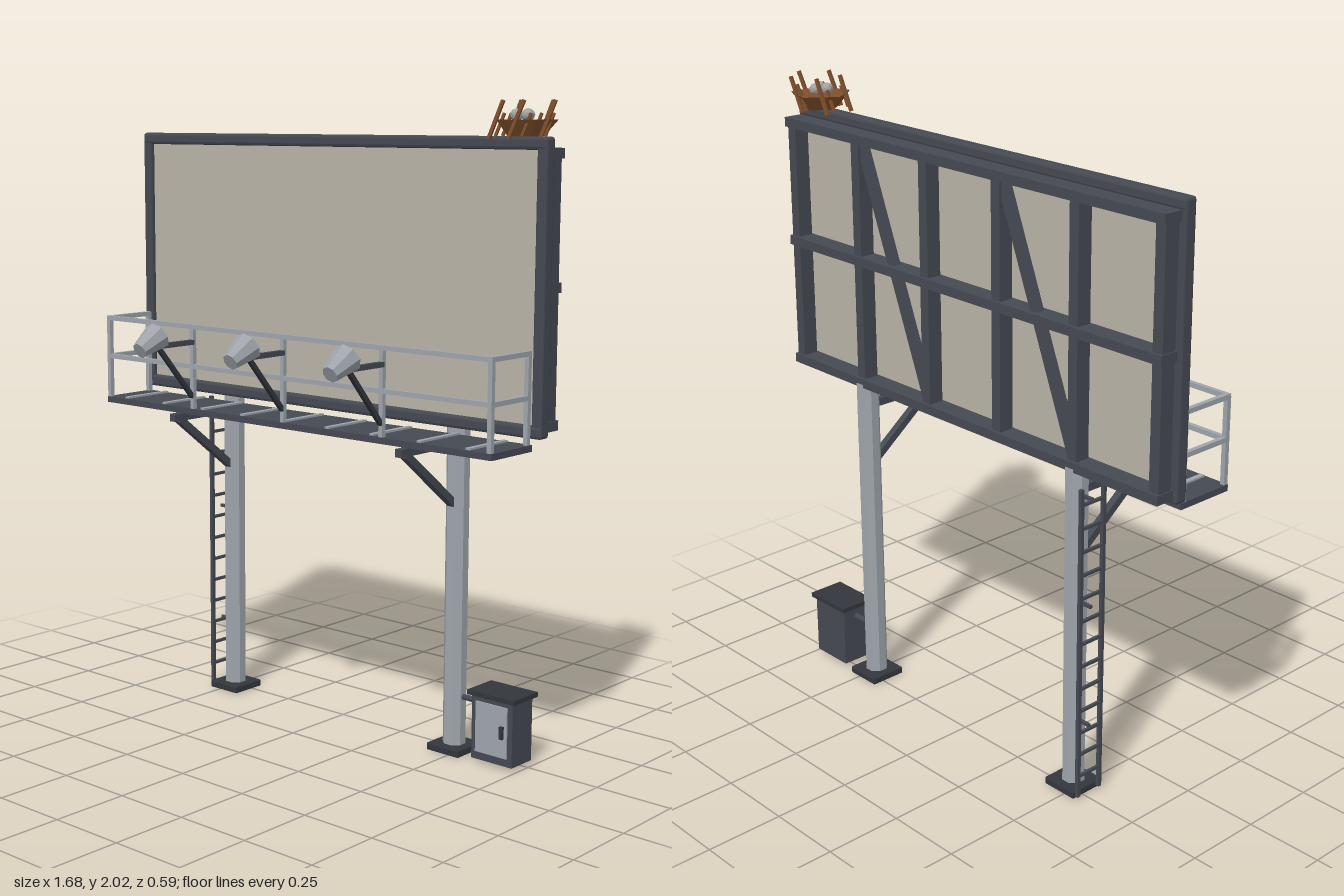
import * as THREE from 'three';
import { RoundedBoxGeometry } from 'three/addons/geometries/RoundedBoxGeometry.js';

const mat = (name, color) => new THREE.MeshStandardMaterial({ name, color, flatShading: true });

export function createModel() {
  const root = new THREE.Group();
  root.name = 'billboard';
  const dark = mat('dark painted steel', 0x454952);
  const black = mat('blackened steel', 0x33363c);
  const steel = mat('galvanised steel', 0x9fa5ad);
  const cream = mat('blank panel', 0xb9b3a7);
  const amber = mat('amber lens', 0xdd862a);
  const brown = mat('nest twigs', 0x80502d);
  const egg = mat('eggs', 0xa3a3a0);

  const group = (name, parent = root) => {
    const g = new THREE.Group();
    g.name = name;
    parent.add(g);
    return g;
  };
  const add = (parent, name, geometry, material, x = 0, y = 0, z = 0) => {
    const m = new THREE.Mesh(geometry, material);
    m.name = name;
    m.position.set(x, y, z);
    parent.add(m);
    return m;
  };
  // box given by its lower and upper corners
  const box = (parent, name, material, [x0, y0, z0], [x1, y1, z1], bevel = 0) => {
    const s = [x1 - x0, y1 - y0, z1 - z0];
    const g = bevel ? new RoundedBoxGeometry(...s, 1, bevel) : new THREE.BoxGeometry(...s);
    return add(parent, name, g, material, (x0 + x1) / 2, (y0 + y1) / 2, (z0 + z1) / 2);
  };
  // square bar between two points
  const bar = (parent, name, material, a, b, w, d = w) => {
    const p = new THREE.Vector3(...a), q = new THREE.Vector3(...b);
    const m = add(parent, name, new THREE.BoxGeometry(w, d, p.distanceTo(q)), material);
    m.position.copy(p).add(q).multiplyScalar(0.5);
    m.lookAt(q);
    return m;
  };

  // sign panel and front frame
  const sign = group('sign');
  box(sign, 'panel', cream, [-0.81, 1.06, -0.195], [0.81, 1.9, -0.17]);
  box(sign, 'topFrame', dark, [-0.835, 1.882, -0.197], [0.835, 1.92, -0.153], 0.009);
  box(sign, 'bottomFrame', dark, [-0.835, 1.045, -0.197], [0.835, 1.084, -0.153], 0.009);
  for (const s of [-1, 1]) {
    box(sign, 'sideFrame', dark, [s * 0.817 - 0.018, 1.05, -0.195], [s * 0.817 + 0.018, 1.9, -0.155], 0.006);
  }

  // rear support lattice
  const lattice = group('rearLattice');
  for (let i = 0; i < 6; i++) {
    const x = -0.8 + i * 0.32;
    box(lattice, 'upright', dark, [x - 0.018, 1.06, -0.253], [x + 0.018, 1.885, -0.203]);
  }
  for (const y of [1.075, 1.483, 1.872]) {
    box(lattice, 'crossBeam', dark, [-0.822, y - 0.015, -0.262], [0.822, y + 0.015, -0.197]);
  }
  for (const x of [0.48, -0.16]) {
    bar(lattice, 'diagonalBrace', dark, [x - 0.01, 1.86, -0.23], [x - 0.31, 1.09, -0.23], 0.028);
  }

  // octagonal columns, base plates and catwalk brackets
  for (const x of [-0.48, 0.48]) {
    const c = group('column');
    const post = add(c, 'post', new THREE.CylinderGeometry(0.037, 0.037, 1.05, 8), steel, x, 0.545, -0.23);
    post.rotation.y = Math.PI / 8;
    box(c, 'basePlate', black, [x - 0.062, 0, -0.292], [x + 0.062, 0.024, -0.168], 0.004);
    box(c, 'bracketArm', dark, [x - 0.012, 0.98, -0.22], [x + 0.012, 1.005, 0.065]);
    bar(c, 'bracketStrut', dark, [x, 0.985, 0.035], [x, 0.795, -0.21], 0.024);
  }

  // catwalk
  const walk = group('catwalk');
  box(walk, 'deck', dark, [-0.81, 1.01, -0.148], [0.81, 1.03, 0.052]);
  for (let i = -4; i <= 4; i++) {
    box(walk, 'deckStrip', steel, [i * 0.18 - 0.008, 1.03, -0.14], [i * 0.18 + 0.008, 1.036, 0.045]);
  }
  const R = 0.015;
  for (let i = -2; i <= 2; i++) bar(walk, 'railPost', steel, [i * 0.4, 1.03, 0.045], [i * 0.4, 1.3, 0.045], R);
  for (const y of [1.17, 1.3]) {
    bar(walk, 'frontRail', steel, [-0.807, y, 0.045], [0.807, y, 0.045], R);
    for (const x of [-0.8, 0.8]) bar(walk, 'endRail', steel, [x, y, 0.045], [x, y, -0.14], R);
  }
  for (const x of [-0.8, 0.8]) bar(walk, 'rearRailPost', steel, [x, 1.03, -0.133], [x, 1.3, -0.133], R);

  // three floodlights aimed back at the panel
  for (const x of [-0.4, 0, 0.4]) {
    const l = group('floodlight');
    bar(l, 'arm', dark, [x, 1.25, 0.045], [x, 1.25, 0.225], 0.016);
    bar(l, 'strut', black, [x, 1.07, 0.05], [x, 1.245, 0.2], 0.014);
    const head = group('lampHead', l);
    head.position.set(x, 1.264, 0.242);
    head.rotation.x = -Math.acos(0.47);
    add(head, 'shade', new THREE.CylinderGeometry(0.047, 0.027, 0.09, 8), steel);
    add(head, 'lens', new THREE.CylinderGeometry(0.042, 0.042, 0.006, 8), amber, 0, 0.045, 0);
  }

  // ladder beside the column on the model's right
  const ladder = group('ladder');
  const LX = -0.55;
  for (const z of [-0.19, -0.281]) bar(ladder, 'rail', dark, [LX, 0.01, z], [LX, 1.03, z], 0.012);
  for (let i = 0; i < 13; i++) {
    const y = 0.08 + i * 0.075;
    bar(ladder, 'rung', dark, [LX, y, -0.19], [LX, y, -0.281], 0.009);
  }
  for (const y of [0.24, 0.64, 0.985]) {
    bar(ladder, 'standoff', dark, [LX, y, -0.235], [-0.5, y, -0.235], 0.01);
  }

  // electrical cabinet
  const cab = group('cabinet');
  box(cab, 'body', dark, [0.585, 0.012, -0.283], [0.738, 0.218, -0.18]);
  box(cab, 'lid', black, [0.573, 0.216, -0.295], [0.75, 0.231, -0.17]);
  box(cab, 'door', steel, [0.602, 0.038, -0.181], [0.72, 0.2, -0.175]);
  box(cab, 'handle', black, [0.698, 0.1, -0.176], [0.71, 0.14, -0.165]);
  const pipe = add(cab, 'conduit', new THREE.CylinderGeometry(0.01, 0.01, 0.1, 8), dark, 0.545, 0.18, -0.23);
  pipe.rotation.z = Math.PI / 2;

  // bird nest on the top corner
  const nest = group('nest');
  nest.position.set(0.735, 1.92, -0.18);
  const bowl = add(nest, 'bowl', new THREE.CylinderGeometry(0.098, 0.058, 0.047, 5), brown, 0, 0.0235, 0);
  bowl.rotation.y = -Math.PI / 2;
  for (let i = 0; i < 5; i++) {
    const at = (k, r, y) => {
      const a = Math.PI + k * Math.PI * 0.4;
      return [Math.cos(a) * r, y, Math.sin(a) * r];
    };
    bar(nest, 'rimTwig', brown, at(i, 0.102, 0.05), at(i + 1, 0.098, 0.046), 0.01);
    bar(nest, 'sideTwig', brown, at(i, 0.055, 0.008), at(i + 0.3, 0.097, 0.058), 0.008);
  }
  for (let i = 0; i < 3; i++) {
    const a = 0.5 + i * Math.PI * 2 / 3;
    add(nest, 'egg', new THREE.IcosahedronGeometry(0.019, 1), egg, Math.cos(a) * 0.022, 0.061, Math.sin(a) * 0.022);
  }
  return root;
}
